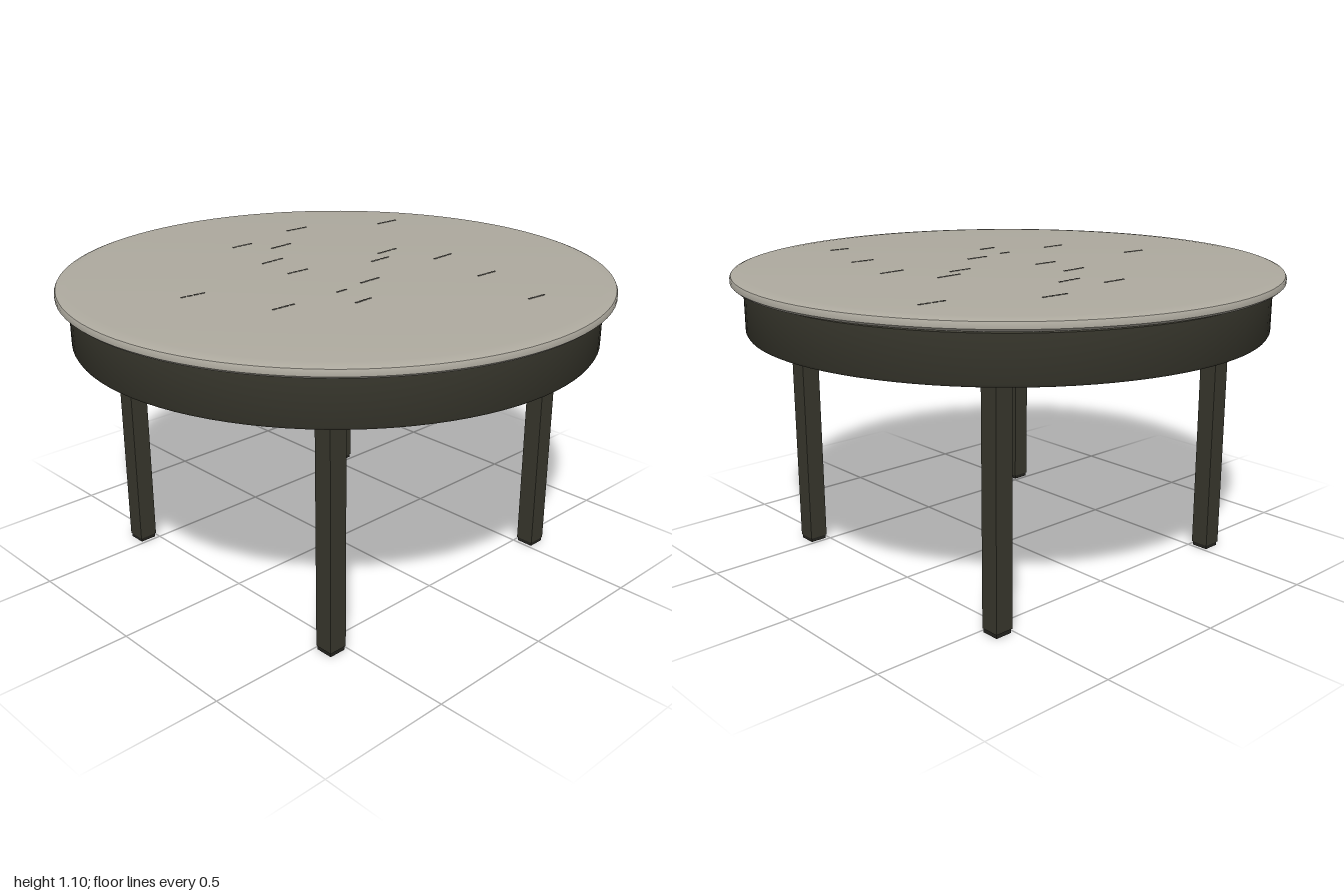
import * as THREE from 'three';
import { toCreasedNormals } from 'three/addons/utils/BufferGeometryUtils.js';

const paint = (name, color) => {
  const m = new THREE.MeshStandardMaterial({ color });
  m.name = name;
  return m;
};

export function createModel() {
  const table = new THREE.Group();
  table.name = 'roundTable';
  const stone = paint('warm grey stone', 0xaeaa9f);
  const wood = paint('dark wood', 0x38372d);
  const vein = paint('grey vein', 0x68665f);
  const pad = paint('dark foot pad', 0x24231e);

  const add = (name, geometry, material, x = 0, y = 0, z = 0) => {
    const mesh = new THREE.Mesh(geometry, material);
    mesh.name = name;
    mesh.position.set(x, y, z);
    table.add(mesh);
    return mesh;
  };
  // Turned part from a radius/height profile, bottom to top
  const turned = (name, profile, material) => add(name, toCreasedNormals(
    new THREE.LatheGeometry(profile.map(([r, y]) => new THREE.Vector2(r, y)), 96), 0.6), material);

  // Table top with eased edges
  turned('tableTop', [[0, 1.06], [0.975, 1.06], [0.99, 1.064], [1, 1.073], [1, 1.087],
    [0.996, 1.095], [0.985, 1.099], [0.95, 1.102], [0, 1.102]], stone);

  // Drum apron, with a recessed neck below the top
  turned('apron', [[0, 0.885], [0.94, 0.885], [0.95, 0.888], [0.955, 0.897],
    [0.955, 1.052], [0.945, 1.056], [0, 1.056]], wood);
  turned('neck', [[0, 1.05], [0.93, 1.05], [0.93, 1.062], [0, 1.062]], wood);

  // Four square legs on foot pads
  for (const x of [-0.545, 0.545]) {
    for (const z of [-0.545, 0.545]) {
      add('leg', new THREE.BoxGeometry(0.07, 0.88, 0.07), wood, x, 0.455, z);
      add('footPad', new THREE.BoxGeometry(0.064, 0.016, 0.064), pad, x, 0.008, z);
    }
  }

  // Short broken veins in the stone: centre x, centre z, length, slope
  const veins = [
    [0.32, -0.57, 0.11, 0.06], [-0.015, -0.515, 0.1, 0], [0.09, -0.405, 0.11, -0.06],
    [0.68, -0.4, 0.11, 0.05], [-0.08, -0.26, 0.11, -0.05], [-0.56, -0.115, 0.1, 0.1],
    [-0.105, -0.09, 0.1, 0.03], [0.335, -0.065, 0.11, -0.05], [0.23, 0, 0.1, -0.03],
    [0.43, 0.135, 0.11, -0.06], [-0.425, 0.195, 0.1, 0.02], [-0.16, 0.195, 0.05, -0.04],
    [0, 0.172, 0.1, -0.03], [-0.185, 0.325, 0.08, -0.06], [0.365, 0.402, 0.1, 0.03],
    [0.265, 0.7, 0.085, 0.08],
  ];
  for (const [cx, cz, length, slope] of veins) {
    for (let i = 0; i < 4; i++) {
      const d = (i - 1.5) * length / 4;
      const dash = add('vein', new THREE.BoxGeometry(length / 5.5, 0.003, 0.006), vein, cx + d, 1.1025, cz + d * slope);
      dash.rotation.y = -slope;
    }
  }
  return table;
}
